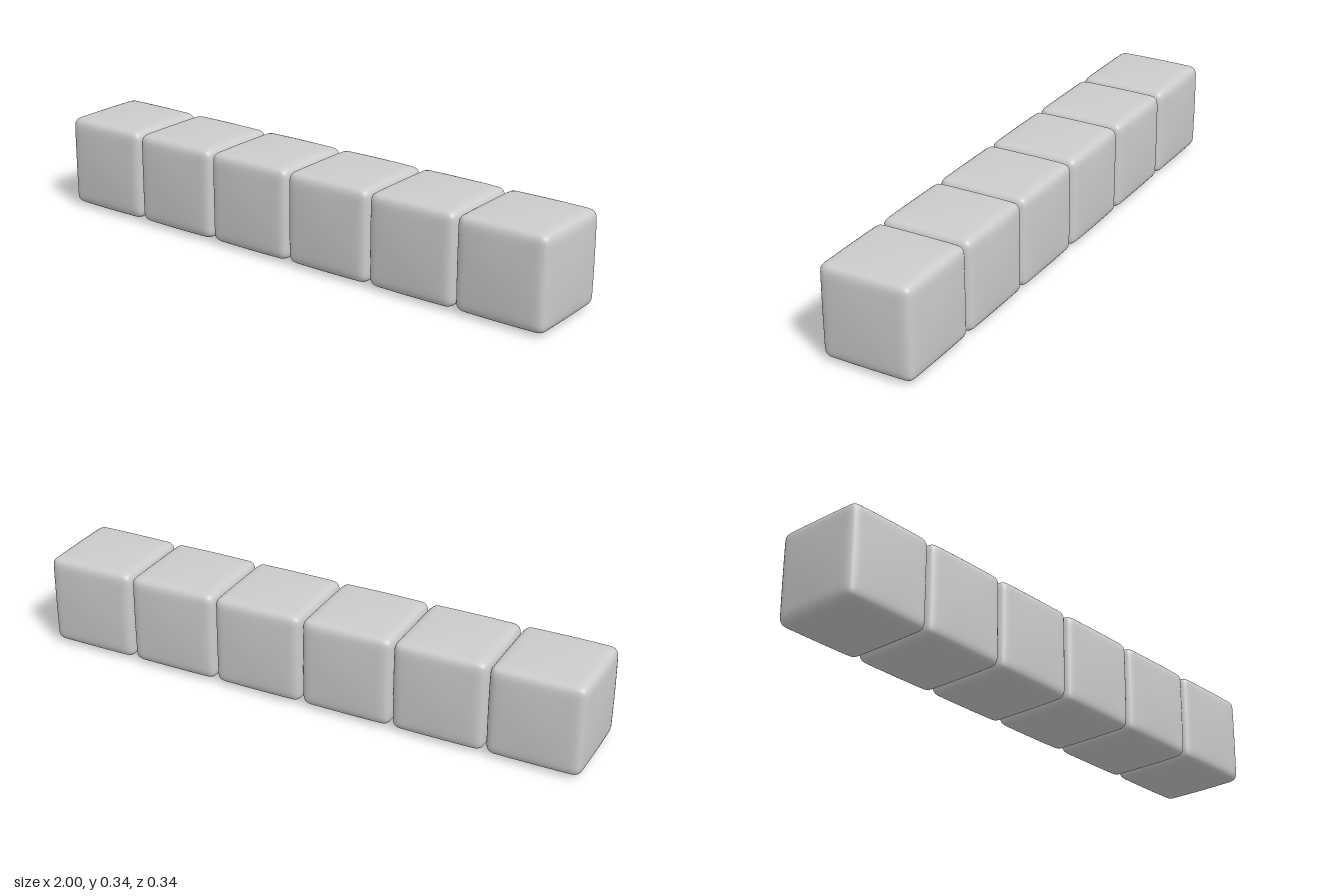
import * as THREE from 'three';
import { mergeVertices } from 'three/addons/utils/BufferGeometryUtils.js';

const COUNT = 6;
const HALF = 0.162; // half size at the cube edges
const RADIUS = 0.029; // edge rounding
const BULGE = 0.05; // outward swelling of each face
const REACH = HALF * (1 + BULGE); // half size at the face centres

// Cube with rounded edges and softly swollen faces
function pillowCube() {
  const geometry = new THREE.BoxGeometry(2, 2, 2, 20, 20, 20);
  geometry.deleteAttribute('normal');
  geometry.deleteAttribute('uv');
  const pos = geometry.attributes.position;
  const p = new THREE.Vector3();
  const core = new THREE.Vector3();
  const inner = HALF - RADIUS;
  // Crowd the grid lines towards the edges, where the rounding needs them
  const spread = (t) => Math.sin(t * Math.PI / 2) * HALF;
  const swell = (a, b) => 1 + BULGE * (1 - (a / HALF) ** 2) * (1 - (b / HALF) ** 2);
  for (let i = 0; i < pos.count; i++) {
    p.fromBufferAttribute(pos, i);
    p.set(spread(p.x), spread(p.y), spread(p.z));
    core.copy(p).clampScalar(-inner, inner);
    p.sub(core).setLength(RADIUS).add(core);
    pos.setXYZ(i, p.x * swell(p.y, p.z), p.y * swell(p.x, p.z), p.z * swell(p.x, p.y));
  }
  const merged = mergeVertices(geometry, 1e-5);
  merged.computeVertexNormals();
  return merged;
}

export function createModel() {
  const group = new THREE.Group();
  group.name = 'cubeRow';
  const material = new THREE.MeshStandardMaterial({ color: 0xcccccc });
  const geometry = pillowCube();
  const pitch = (2 - 2 * REACH) / (COUNT - 1);

  // Row of touching cubes along x
  for (let i = 0; i < COUNT; i++) {
    const cube = new THREE.Mesh(geometry, material);
    cube.name = `cube${i + 1}`;
    cube.position.set((i - (COUNT - 1) / 2) * pitch, REACH, 0);
    group.add(cube);
  }
  return group;
}
